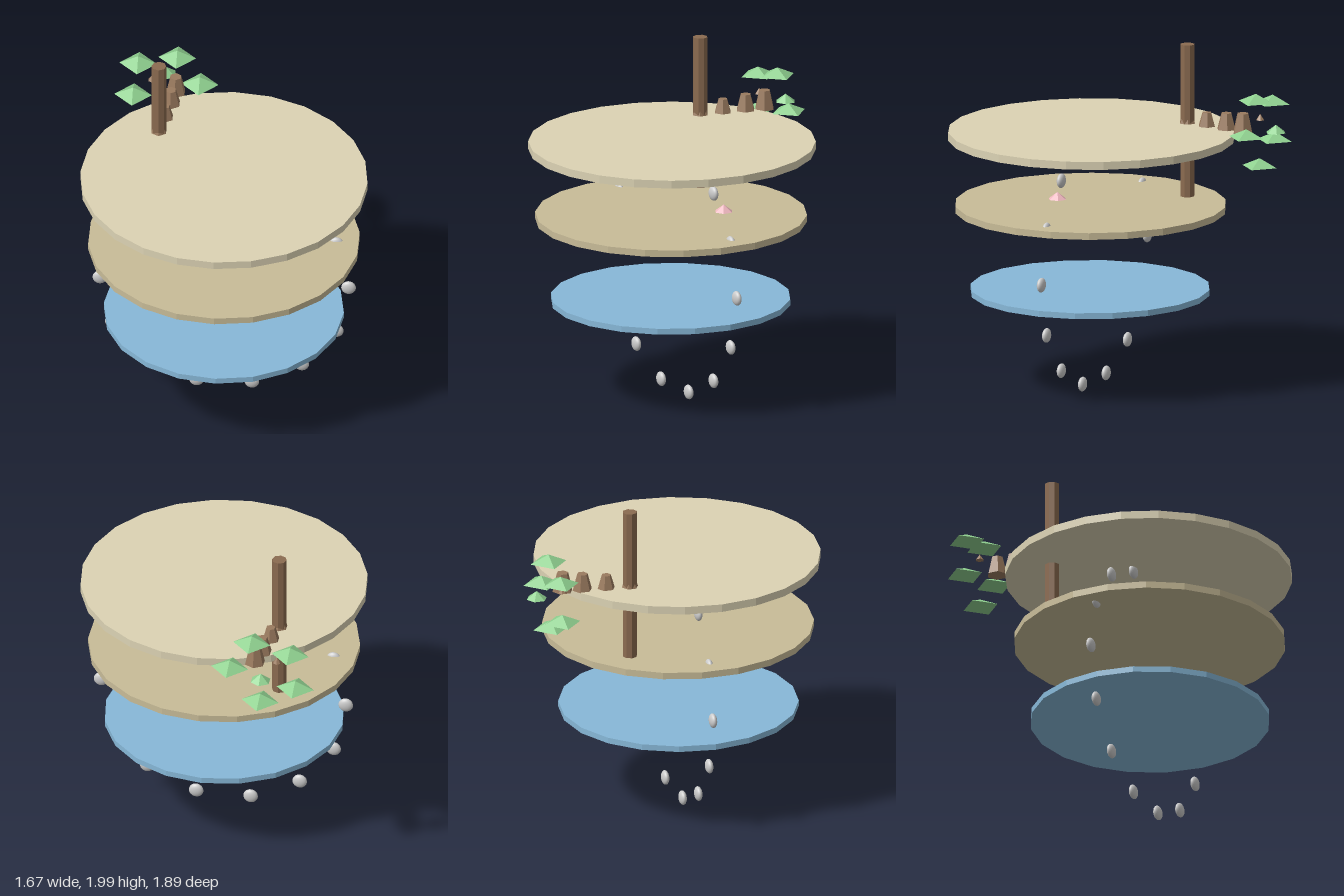
import * as THREE from 'three';

const material = (color, flatShading = true) => new THREE.MeshStandardMaterial({ color, flatShading });

export function createModel() {
  const model = new THREE.Group();
  const cream = material(0xdcd3b4), sand = material(0xc8bc98), blue = material(0x87b8d8);
  const bark = material(0x8b6b50), wood = material(0x9a7a5e);
  const green = material(0x8fd08f), pink = material(0xf0b8c0);
  const pearl = material(0xe2e5e4, false);

  function add(name, geometry, mat, x, y, z) {
    const mesh = new THREE.Mesh(geometry, mat);
    mesh.name = name;
    mesh.position.set(x, y, z);
    model.add(mesh);
    return mesh;
  }

  // Tapered prism standing on height y0
  function prism(name, mat, sides, rTop, rBottom, x, y0, y1, z) {
    const geo = rTop > 0
      ? new THREE.CylinderGeometry(rTop, rBottom, y1 - y0, sides)
      : new THREE.ConeGeometry(rBottom, y1 - y0, sides);
    return add(name, geo, mat, x, (y0 + y1) / 2, z);
  }

  // Three stacked discs
  prism('topDisc', cream, 24, 0.837, 0.837, 0, 1.483, 1.53, 0.109);
  prism('middleDisc', sand, 22, 0.792, 0.792, 0, 1.055, 1.095, 0.115);
  prism('bottomDisc', blue, 20, 0.70, 0.70, 0, 0.56, 0.595, 0.118);

  // Trunk through the top disc, and the row of stumps behind it
  prism('trunk', bark, 8, 0.043, 0.043, -0.41, 1.08, 2, -0.315);
  [
    [-0.41, -0.315, 0.028, 0.050, 0.07],
    [-0.385, -0.452, 0.028, 0.053, 0.085],
    [-0.36, -0.59, 0.032, 0.059, 0.10],
    [-0.34, -0.705, 0.035, 0.061, 0.113],
  ].forEach(([x, z, rTop, rBottom, h]) =>
    prism('stump', wood, 6, rTop, rBottom, x, 1.527, 1.527 + h, z));
  prism('barkTip', wood, 6, 0, 0.025, -0.48, 1.575, 1.612, -0.75);

  // Low pyramid leaves
  [[-0.565, 1.663], [-0.337, 1.715], [-0.206, 1.53], [-0.595, 1.435], [-0.387, 1.32]]
    .forEach(([x, y]) => prism('leaf', green, 4, 0, 0.11, x, y, y + 0.05, -0.79));
  prism('smallLeaf', green, 6, 0, 0.061, -0.408, 1.528, 1.575, -0.885);

  // Blossoms and the drop beside the upper one
  prism('largeBlossom', pink, 6, 0, 0.077, 0.382, 1.41, 1.46, 0.058);
  prism('smallBlossom', pink, 6, 0, 0.055, 0.542, 1.235, 1.277, 0.073);
  add('drop', new THREE.SphereGeometry(0.024, 16, 12), pearl, 0.382, 1.44, 0.015);

  // Upright ring of flattened beads
  const bead = new THREE.SphereGeometry(0.043, 20, 14);
  for (let i = 0; i < 14; i++) {
    const a = (i / 14) * Math.PI * 2;
    add('bead', bead, pearl, 0.725 * Math.cos(a), 0.757 + 0.725 * Math.sin(a), 0.09)
      .scale.z = 0.52;
  }

  return model;
}
